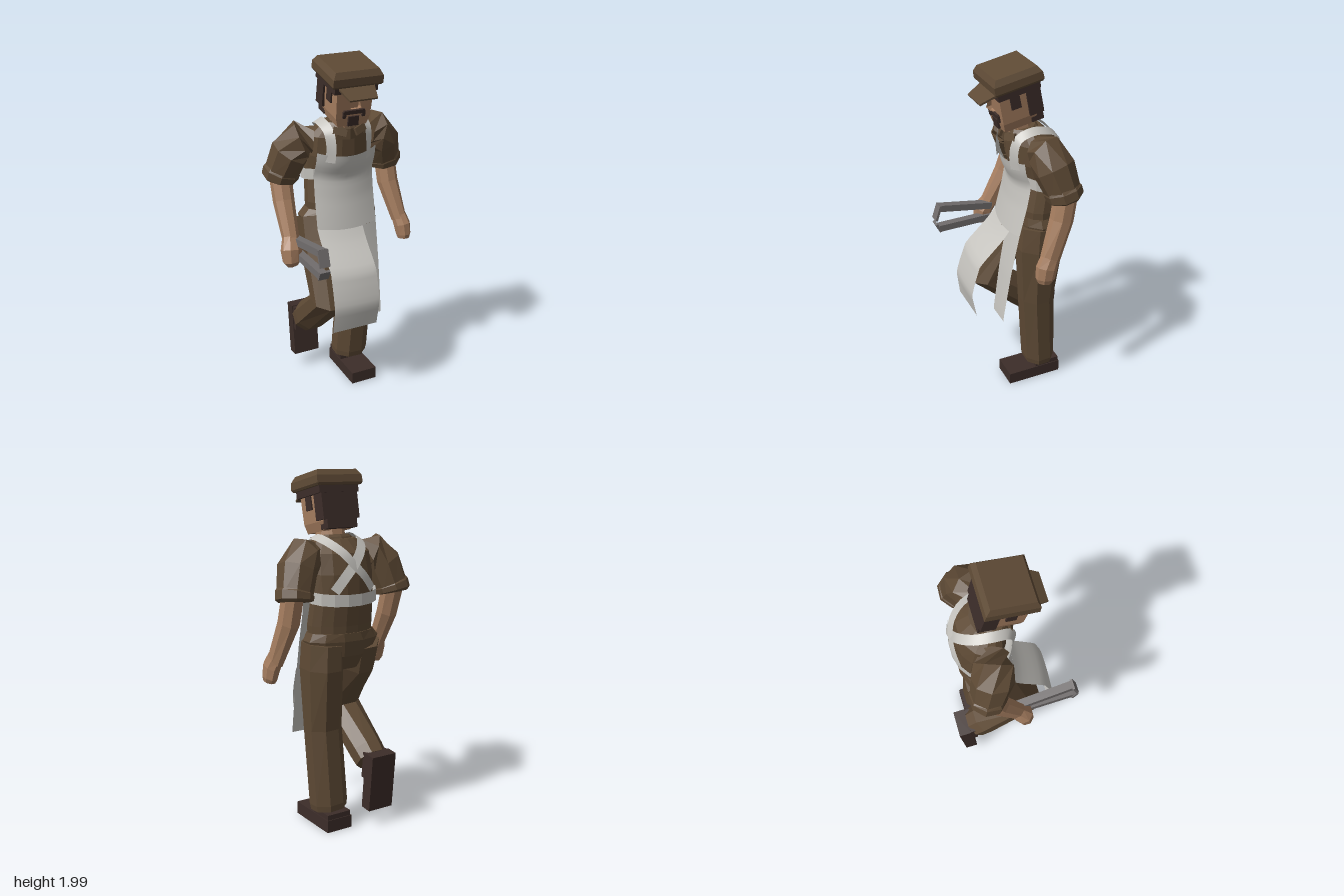
import * as THREE from 'three';

const V = (x, y, z) => new THREE.Vector3(x, y, z);
const UP = V(0, 1, 0);

function mat(name, color, side = THREE.FrontSide) {
  const m = new THREE.MeshStandardMaterial({ color, side });
  m.name = name;
  return m;
}

function mesh(parent, name, geometry, material, x = 0, y = 0, z = 0) {
  const m = new THREE.Mesh(geometry, material);
  m.name = name;
  m.position.set(x, y, z);
  parent.add(m);
  return m;
}

const box = (w, h, d) => new THREE.BoxGeometry(w, h, d);

// Faceted loft through rings [x, y, z, halfWidth, halfDepth]; rings follow the path unless an axis is given
function loft(rings, sides = 8, axis = null, capped = true) {
  const c = rings.map(r => V(r[0], r[1], r[2]));
  const pos = [], idx = [], k = 1 / Math.cos(Math.PI / sides);
  rings.forEach((r, i) => {
    let t = axis;
    if (!t) {
      t = V(0, 0, 0);
      if (i > 0) t.add(c[i].clone().sub(c[i - 1]).normalize());
      if (i < c.length - 1) t.add(c[i + 1].clone().sub(c[i]).normalize());
      t.normalize();
    }
    const u = V(1, 0, 0).addScaledVector(t, -t.x).normalize();
    const w = t.clone().cross(u);
    for (let j = 0; j < sides; j++) {
      const ang = (j + 0.5) / sides * Math.PI * 2;
      const p = c[i].clone().addScaledVector(u, Math.cos(ang) * r[3] * k).addScaledVector(w, Math.sin(ang) * r[4] * k);
      pos.push(p.x, p.y, p.z);
    }
  });
  const last = (rings.length - 1) * sides, n = rings.length * sides;
  c[0].toArray(pos, n * 3);
  c[c.length - 1].toArray(pos, n * 3 + 3);
  for (let j = 0; j < sides; j++) {
    const j1 = (j + 1) % sides;
    for (let i = 0; i < last; i += sides) idx.push(i + j, i + j1, i + sides + j1, i + j, i + sides + j1, i + sides + j);
    if (capped) idx.push(n, j1, j, n + 1, last + j, last + j1);
  }
  const g = new THREE.BufferGeometry();
  g.setAttribute('position', new THREE.Float32BufferAttribute(pos, 3));
  g.setIndex(idx);
  const flat = g.toNonIndexed();
  flat.computeVertexNormals();
  return flat;
}

// Piecewise linear lookup in [[key, value], ...] with falling keys
function lookup(table, y) {
  for (let i = 1; i < table.length; i++) {
    const [y0, a] = table[i - 1], [y1, b] = table[i];
    if (y >= y1) return THREE.MathUtils.lerp(a, b, THREE.MathUtils.clamp((y0 - y) / (y0 - y1), 0, 1));
  }
  return table[table.length - 1][1];
}

// Cloth strip along a curve, lying flat on the body
function strap(points, width) {
  const curve = new THREE.CatmullRomCurve3(points.map(p => V(...p)));
  const g = new THREE.PlaneGeometry(1, 1, 1, 24);
  const p = g.attributes.position, centre = V(0, 1.42, -0.13);
  for (let i = 0; i <= 24; i++) {
    const q = curve.getPoint(i / 24);
    const side = curve.getTangent(i / 24).cross(q.clone().sub(centre)).normalize().multiplyScalar(width / 2);
    p.setXYZ(i * 2, q.x - side.x, q.y - side.y, q.z - side.z);
    p.setXYZ(i * 2 + 1, q.x + side.x, q.y + side.y, q.z + side.z);
  }
  g.computeVertexNormals();
  return g;
}

// Part of the apron between two heights and two shares of its width, hung on a depth profile
function apronPanel(yTop, yBottom, u0, u1, profile) {
  const g = new THREE.PlaneGeometry(1, 1, 12, 16), p = g.attributes.position;
  for (let i = 0; i < p.count; i++) {
    const u = THREE.MathUtils.lerp(u0, u1, p.getX(i) + 0.5);
    const y = THREE.MathUtils.lerp(yBottom, yTop, p.getY(i) + 0.5);
    const t = (1.46 - y) / 0.96;
    const x = THREE.MathUtils.lerp(-0.18 - 0.03 * t, 0.175 - 0.015 * t, u);
    p.setXYZ(i, x, y + (1 - t) * x * x * 0.8, lookup(profile, y) - 1.6 * x * x * Math.max(0, 1 - t));
  }
  g.computeVertexNormals();
  return g;
}

export function createModel() {
  const model = new THREE.Group();
  model.name = 'craftsman';
  const cloth = mat('brownCloth', 0x5e4a35);
  const dark = mat('darkBrown', 0x3c2d29);
  const skin = mat('skin', 0xa67e60);
  const linen = mat('paleLinen', 0xc6c4bf, THREE.DoubleSide);
  const steel = mat('steel', 0x716d6d);

  // Shirt and hips
  mesh(model, 'shirt', loft([
    [0, 1.08, -0.135, 0.19, 0.12], [0, 1.17, -0.135, 0.195, 0.125], [0, 1.3, -0.155, 0.188, 0.118],
    [0, 1.45, -0.13, 0.195, 0.137], [0, 1.56, -0.115, 0.185, 0.125], [0, 1.63, -0.085, 0.12, 0.085]], 16, UP), cloth);
  mesh(model, 'hips', loft([
    [-0.01, 0.92, -0.125, 0.12, 0.085], [-0.01, 1.0, -0.13, 0.195, 0.12],
    [-0.01, 1.085, -0.135, 0.225, 0.13], [0, 1.13, -0.135, 0.195, 0.127]], 12, UP), cloth);
  mesh(model, 'neck', loft([[0, 1.56, -0.06, 0.08, 0.07], [0, 1.7, -0.03, 0.075, 0.07]]), skin);
  mesh(model, 'collar', loft([
    [0, 1.575, -0.07, 0.125, 0.1], [0, 1.625, -0.058, 0.115, 0.088], [0, 1.645, -0.056, 0.095, 0.075]], 10), cloth);
  for (const s of [-1, 1]) {
    const tip = mesh(model, 'collarTip', box(0.075, 0.04, 0.015), cloth, s * 0.06, 1.6, 0.027);
    tip.rotation.set(-0.3, s * 0.3, s * 0.35);
  }

  // Legs
  mesh(model, 'leftTrouserLeg', loft([
    [0.11, 1.07, -0.135, 0.108, 0.122], [0.115, 0.93, -0.13, 0.108, 0.13], [0.1, 0.58, -0.12, 0.1, 0.097],
    [0.08, 0.14, -0.148, 0.103, 0.09], [0.078, 0.105, -0.15, 0.098, 0.085]]), cloth);
  mesh(model, 'rightTrouserLeg', loft([
    [-0.125, 1.07, -0.135, 0.112, 0.12], [-0.135, 0.93, -0.085, 0.11, 0.125], [-0.155, 0.63, 0.085, 0.105, 0.1],
    [-0.165, 0.41, -0.17, 0.095, 0.09], [-0.165, 0.365, -0.225, 0.09, 0.085]]), cloth);

  // Shoes
  function shoe(name) {
    const g = new THREE.Group();
    g.name = name;
    mesh(g, 'shoeFoot', box(0.16, 0.072, 0.33), dark, 0, -0.01, 0);
    mesh(g, 'shoeAnkle', box(0.15, 0.06, 0.15), dark, 0, 0.025, -0.085);
    model.add(g);
    return g;
  }
  shoe('leftShoe').position.set(0.077, 0.046, -0.095);
  const raised = shoe('rightShoe');
  raised.position.set(-0.166, 0.262, -0.285);
  raised.rotation.x = 1.48;

  // Sleeves with turned cuffs
  for (const s of [-1, 1]) {
    const o = s < 0 ? -0.02 : 0, X = x => s * x + o;
    const name = s < 0 ? 'right' : 'left';
    mesh(model, name + 'Sleeve', loft([
      [X(0.15), 1.54, -0.09, 0.07, 0.07], [X(0.208), 1.545, -0.11, 0.1, 0.1],
      [X(0.268), 1.475, -0.132, 0.1, 0.106], [X(0.308), 1.34, -0.172, 0.09, 0.088]]), cloth);
    mesh(model, name + 'Cuff', loft([
      [X(0.3), 1.372, -0.165, 0.09, 0.09], [X(0.304), 1.36, -0.167, 0.098, 0.096],
      [X(0.312), 1.325, -0.177, 0.096, 0.094], [X(0.313), 1.315, -0.179, 0.08, 0.08]]), cloth);
  }

  // Forearms and hands
  mesh(model, 'leftForearm', loft([
    [0.322, 1.36, -0.18, 0.055, 0.06], [0.333, 1.2, -0.15, 0.055, 0.062], [0.37, 0.98, -0.065, 0.038, 0.054]]), skin);
  mesh(model, 'leftHand', loft([
    [0.37, 1.0, -0.07, 0.038, 0.052], [0.38, 0.95, -0.045, 0.042, 0.058], [0.386, 0.89, -0.035, 0.037, 0.052],
    [0.386, 0.865, -0.03, 0.03, 0.038]]), skin);
  mesh(model, 'rightForearm', loft([
    [-0.335, 1.36, -0.175, 0.058, 0.06], [-0.338, 1.2, -0.12, 0.055, 0.06], [-0.345, 1.0, -0.01, 0.042, 0.048]]), skin);
  mesh(model, 'rightHand', loft([
    [-0.345, 1.02, -0.02, 0.042, 0.046], [-0.358, 0.96, 0.02, 0.055, 0.052], [-0.36, 0.9, 0.03, 0.048, 0.045],
    [-0.355, 0.875, 0.03, 0.035, 0.03]]), skin);

  // Tongs held forward
  const tongs = new THREE.Group();
  tongs.name = 'tongs';
  model.add(tongs);
  const bar = (a, b, w, h) => {
    const A = V(...a), B = V(...b);
    const m = mesh(tongs, 'tongBar', box(w, h, A.distanceTo(B)), steel);
    m.position.copy(A).add(B).multiplyScalar(0.5);
    m.lookAt(B);
  };
  bar([-0.315, 1.0, -0.01], [-0.303, 1.058, 0.32], 0.045, 0.04);
  bar([-0.303, 1.075, 0.315], [-0.303, 0.985, 0.345], 0.06, 0.014);
  bar([-0.315, 0.925, -0.01], [-0.303, 0.925, 0.325], 0.045, 0.04);
  bar([-0.303, 0.908, 0.32], [-0.303, 0.96, 0.345], 0.06, 0.014);

  // Apron: upper sheet, then a slit between a flap over the raised knee and a hanging strip
  const hanging = [[1.47, 0.045], [1.4, 0.03], [1.32, -0.005], [1.2, 0.01], [1.03, 0.044], [0.8, 0.08], [0.5, 0.115]];
  const lifted = [[1.03, 0.044], [0.98, 0.08], [0.84, 0.22], [0.74, 0.25], [0.65, 0.27], [0.5, 0.24]];
  mesh(model, 'apronTop', apronPanel(1.46, 1.03, 0, 1, hanging), linen);
  mesh(model, 'apronFlap', apronPanel(1.03, 0.505, 0, 0.74, lifted), linen);
  mesh(model, 'apronStrip', apronPanel(1.03, 0.49, 0.62, 1, hanging), linen);

  // Waistband and crossed straps
  mesh(model, 'apronWaistband', loft([
    [0, 1.3, -0.153, 0.208, 0.138], [0, 1.365, -0.15, 0.21, 0.14]], 16, V(0, 0.99, -0.14).normalize(), false), linen);
  for (const s of [-1, 1]) {
    mesh(model, 'apronStrap', strap([
      [s * 0.115, 1.43, 0.022], [s * 0.113, 1.53, 0.03], [s * 0.118, 1.605, 0.005], [s * 0.126, 1.64, -0.08],
      [s * 0.106, 1.617, -0.18], [s * 0.055, 1.565, -0.25], [0, 1.5, -0.275 - s * 0.002],
      [s * -0.06, 1.44, -0.283], [s * -0.12, 1.365, -0.272]], 0.055), linen);
  }

  // Head, bowed forward
  const head = new THREE.Group();
  head.name = 'head';
  head.position.set(-0.007, 1.66, -0.04);
  head.rotation.x = 0.2;
  model.add(head);
  mesh(head, 'face', loft([
    [0, 0, 0.02, 0.085, 0.085], [0, 0.05, 0.012, 0.1, 0.098], [0, 0.24, 0.005, 0.108, 0.103]], 4, UP), skin);
  mesh(head, 'nose', loft([
    [0, 0.185, 0.11, 0.012, 0.004], [0, 0.12, 0.118, 0.026, 0.024], [0, 0.105, 0.113, 0.02, 0.01]], 4, UP), skin);
  mesh(head, 'backHair', box(0.23, 0.19, 0.08), dark, 0, 0.15, -0.08);
  mesh(head, 'napeHair', box(0.19, 0.06, 0.07), dark, 0, 0.035, -0.085);
  mesh(head, 'moustache', box(0.12, 0.022, 0.02), dark, 0, 0.085, 0.112);
  mesh(head, 'goatee', box(0.062, 0.055, 0.02), dark, 0, 0.032, 0.109);
  for (const s of [-1, 1]) {
    mesh(head, 'moustacheEnd', box(0.018, 0.036, 0.018), dark, s * 0.056, 0.072, 0.112);
    mesh(head, 'sideburn', box(0.012, 0.11, 0.055), dark, s * 0.107, 0.175, 0.025);
  }

  // Flat cap with band and peak
  mesh(head, 'capBand', box(0.25, 0.05, 0.24), dark, 0, 0.22, -0.002);
  mesh(head, 'capCrown', loft([
    [0, 0.233, -0.003, 0.138, 0.13], [0, 0.245, -0.003, 0.145, 0.138], [0, 0.285, -0.003, 0.143, 0.136],
    [0, 0.317, -0.004, 0.125, 0.116]], 4, UP), cloth);
  mesh(head, 'capPeak', loft([[0, 0.225, 0.11, 0.105, 0.006], [0, 0.196, 0.207, 0.08, 0.005]], 4), cloth);

  return model;
}
